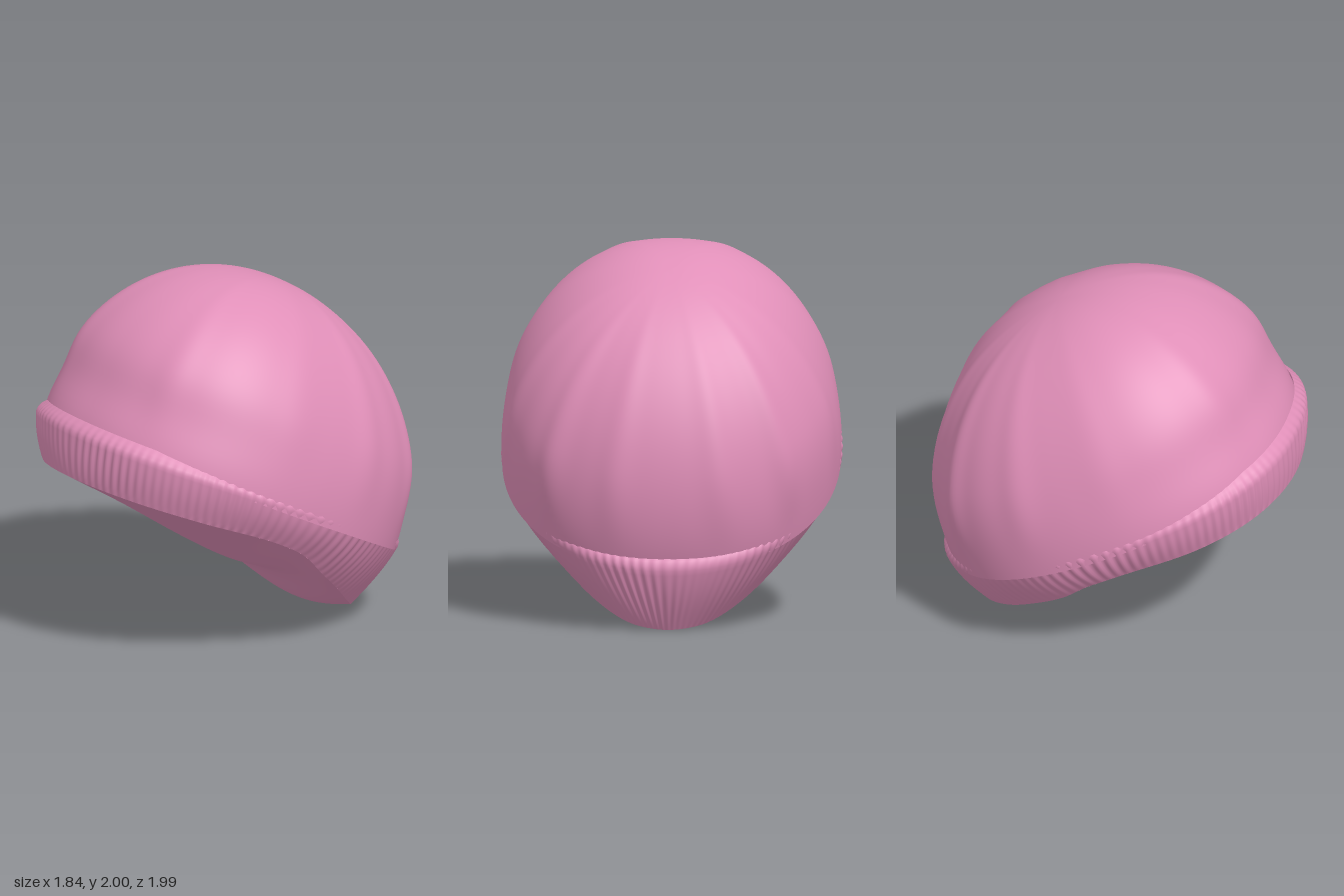
import * as THREE from 'three';
import { mergeVertices } from 'three/addons/utils/BufferGeometryUtils.js';

const { lerp, smoothstep } = THREE.MathUtils;
const RIBS = 110;

// Smooth curve through [z, y] points given in ascending z
function profile(points) {
  const f = new THREE.CubicInterpolant(points.map(p => p[0]), points.map(p => p[1]), 1);
  return z => f.evaluate(z)[0];
}
const rimY = profile([[-0.78, 0], [-0.7, 0.03], [-0.55, 0.13], [-0.33, 0.31], [-0.15, 0.46],
  [0, 0.6], [0.2, 0.72], [0.6, 0.88], [0.98, 1.02]]);
const keelY = profile([[-0.78, 0], [-0.6, 0.02], [-0.45, 0.08], [-0.15, 0.33], [0, 0.39],
  [0.2, 0.51], [0.6, 0.78], [0.98, 1.02]]);

// Slightly squared circle; angle 0 is the front
function ring(a) {
  const p = v => Math.sign(v) * Math.abs(v) ** 0.9;
  return [p(Math.sin(a)), p(Math.cos(a))];
}

// Height of the cuff's upper edge, bowed up at the sides
const upperY = (s, c) => 0.88 + 0.46 * c + 0.03 * s * s;

// Lower edge of the cuff, narrowing to a point at the nape
function lowerEdge(a) {
  const s = Math.sin(a), c = Math.cos(a);
  const front = Math.max(0, c), back = Math.max(0, -c);
  const z = 0.1 + 0.88 * c;
  return [0.81 * s * (1 + 0.12 * front ** 2 - 0.42 * back ** 1.4), rimY(z), z];
}

// Closed or open surface from a function of two parameters in 0..1
function surface(nu, nv, fn) {
  const pos = [], index = [];
  for (let j = 0; j <= nv; j++)
    for (let i = 0; i <= nu; i++) pos.push(...fn(i / nu, j / nv));
  for (let j = 0; j < nv; j++)
    for (let i = 0; i < nu; i++) {
      const a = j * (nu + 1) + i, d = a + nu + 1;
      index.push(a, a + 1, d + 1, a, d + 1, d);
    }
  let g = new THREE.BufferGeometry();
  g.setAttribute('position', new THREE.Float32BufferAttribute(pos, 3));
  g.setIndex(index);
  g = mergeVertices(g, 1e-5);
  g.computeVertexNormals();
  return g;
}

// Soft gathered folds, mirrored left and right: [degrees from the back, height, width]
const FOLDS = [[17, 0.022, 0.1], [44, 0.035, 0.1], [58, 0.025, 0.25], [75, 0.022, 0.1],
  [102, 0.01, 0.12], [152, 0.016, 0.12]];
function foldHeight(a) {
  const fromBack = Math.abs(Math.PI - a);
  let h = 0;
  for (const [deg, size, width] of FOLDS)
    h += size * Math.exp(-(((fromBack - deg * Math.PI / 180) / width) ** 2));
  return h;
}

// Tilted dome, tucked into the cuff and rising to the crown
function domePoint(u, v) {
  const a = u * Math.PI * 2, t = lerp(-0.08, Math.PI / 2, v);
  const [s, c] = ring(a);
  const fold = foldHeight(a) * smoothstep(v, 0.03, 0.3) * (1 - smoothstep(v, 0.6, 1));
  const pinch = 0.03 * Math.max(0, c) * Math.exp(-(((v - 0.16) / 0.1) ** 2));
  const depth = c > 0 ? 0.91 : 0.936;
  const r = Math.cos(t) * (1 + fold - pinch), h = Math.sin(t);
  return [0.915 * s * r, 0.88 + (upperY(s, c) - 0.88) * r + 1.02 * h, depth * c * r - 0.35 * h];
}

// Ribbed folded cuff, rolled in along its upper edge
function cuffPoint(u, v) {
  const a = u * Math.PI * 2;
  const [s, c] = ring(a);
  const [x, y, z] = lowerEdge(a);
  const roll = Math.max(0, (v - 0.8) / 0.2);
  const swell = Math.sin(Math.PI * v);
  const ribs = 0.0045 * Math.sqrt(Math.max(0, swell)) * (1 + 0.4 * Math.sin(7 * a));
  const out = lerp(0.025, 0.012, Math.max(0, c)) * swell - 0.055 * roll * roll
    + ribs * Math.cos(RIBS * a);
  return [
    lerp(x, 0.925 * s, v) + s * out,
    lerp(y, upperY(s, c), v),
    lerp(z, 0.975 * c, v) + c * out,
  ];
}

// Sagging underside that spans the opening
function undersidePoint(u, v) {
  const [x, y, z] = lowerEdge(Math.PI * (1 - v));
  const k = u * 2 - 1;
  return [x * k, lerp(keelY(z), y, k * k), z];
}

export function createModel() {
  const group = new THREE.Group();
  group.name = 'knitHat';
  const wool = new THREE.MeshStandardMaterial({ color: 0xe08fb8, side: THREE.DoubleSide });
  const add = (name, geometry) => {
    const mesh = new THREE.Mesh(geometry, wool);
    mesh.name = name;
    group.add(mesh);
  };
  add('dome', surface(240, 40, domePoint));
  add('ribbedCuff', surface(RIBS * 6, 16, cuffPoint));
  add('underside', surface(40, 60, undersidePoint));
  return group;
}
